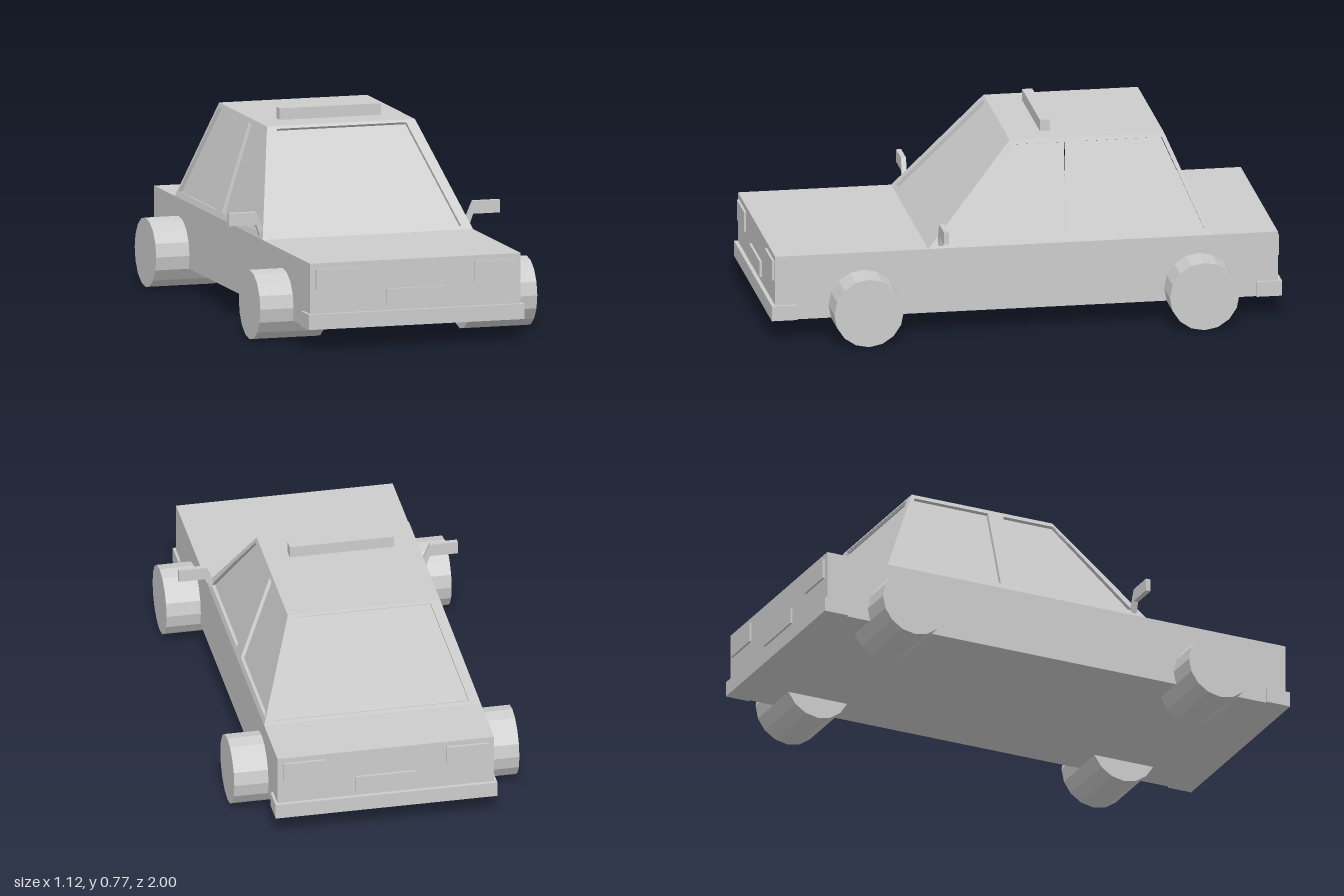
import * as THREE from 'three';

const paint = new THREE.MeshStandardMaterial({ color: 0xcccccc });
paint.name = 'light grey';

const BELT = 0.342, ROOF = 0.727;   // heights of the cabin's base and top
const RECESS = 0.015;               // how deep the panes sit

export function createModel() {
  const car = new THREE.Group();
  car.name = 'car';

  const add = (name, geometry, parent = car) => {
    const mesh = new THREE.Mesh(geometry, paint);
    mesh.name = name;
    parent.add(mesh);
    return mesh;
  };

  // Box given by its limits on each axis
  const box = (name, [x0, x1], [y0, y1], [z0, z1]) => {
    const g = new THREE.BoxGeometry(x1 - x0, y1 - y0, z1 - z0);
    g.translate((x0 + x1) / 2, (y0 + y1) / 2, (z0 + z1) / 2);
    return add(name, g);
  };

  // Sloping cabin wall with recessed windows; points are [across, height]
  const wall = (name, outline, windows, yaw, base, top) => {
    const h = ROOF - BELT, run = base - top;
    const stretch = Math.hypot(h, run) / h;
    const points = (list) => list.map(([a, y]) => new THREE.Vector2(a, (y - BELT) * stretch));
    const place = (g, depth) => g.translate(0, 0, -depth)
      .rotateX(-Math.atan2(run, h)).translate(0, BELT, base).rotateY(yaw);
    const group = new THREE.Group();
    group.name = name;
    const frame = new THREE.Shape(points(outline));
    windows.forEach((w) => frame.holes.push(new THREE.Path(points(w))));
    add('windowFrame', place(new THREE.ExtrudeGeometry(frame, { depth: RECESS, bevelEnabled: false }), RECESS), group);
    windows.forEach((w) => add('windowPane',
      place(new THREE.ShapeGeometry(new THREE.Shape(points(w))), RECESS - 0.001), group));
    car.add(group);
  };

  // Lower body
  box('body', [-0.427, 0.427], [0.085, BELT], [-0.985, 0.985]);

  // Cabin: front and rear walls
  const endOutline = [[-0.427, BELT], [0.427, BELT], [0.3, ROOF], [-0.3, ROOF]];
  const endWindow = [[-0.382, 0.355], [0.382, 0.355], [0.262, 0.717], [-0.262, 0.717]];
  wall('windscreenWall', endOutline, [endWindow], 0, 0.385, 0.045);
  wall('rearWindowWall', endOutline, [endWindow], Math.PI, 0.725, 0.56);

  // Cabin: side walls with two windows each, mirrored
  const sideOutline = [[-0.725, BELT], [0.385, BELT], [0.045, ROOF], [-0.56, ROOF]];
  const frontWindow = [[-0.155, 0.365], [0.33, 0.365], [0.045, 0.71], [-0.17, 0.71]];
  const backWindow = [[-0.7, 0.365], [-0.235, 0.365], [-0.235, 0.71], [-0.55, 0.71]];
  for (const side of [-1, 1]) {
    const flip = (list) => list.map(([a, y]) => [-side * a, y]);
    wall(side > 0 ? 'leftCabinWall' : 'rightCabinWall', flip(sideOutline),
      [flip(frontWindow), flip(backWindow)], side * Math.PI / 2, 0.427, 0.3);
  }
  box('roof', [-0.3, 0.3], [ROOF - 0.015, ROOF], [-0.56, 0.045]);
  box('roofSign', [-0.205, 0.205], [ROOF, 0.772], [-0.13, -0.09]);

  // Bumpers, lamps and plates at both ends
  for (const end of [1, -1]) {
    const where = end > 0 ? 'front' : 'rear';
    const span = (a, b) => (end > 0 ? [a, b] : [-b, -a]);
    box(where + 'Bumper', [-0.437, 0.437], [0.085, 0.145], span(0.9, 1));
    box(where + 'Plate', [-0.12, 0.12], [0.167, 0.23], span(0.98, 0.994));
    box(where + 'LeftLamp', [0.24, 0.405], [0.24, 0.32], span(0.98, 0.994));
    box(where + 'RightLamp', [-0.405, -0.24], [0.24, 0.32], span(0.98, 0.994));
  }

  for (const side of [-1, 1]) {
    const hand = side > 0 ? 'Left' : 'Right';

    // Wing mirror on a short slanted arm
    const outline = [[0.425, 0.352], [0.44, 0.395], [0.55, 0.395], [0.55, 0.445], [0.441, 0.445], [0.412, 0.378]];
    const shape = new THREE.Shape(outline.map(([x, y]) => new THREE.Vector2(side * x, y)));
    const mirror = new THREE.ExtrudeGeometry(shape, { depth: 0.02, bevelEnabled: false });
    add('mirror' + hand, mirror.translate(0, 0, 0.325));

    // Wheels
    for (const [where, z] of [['front', 0.64], ['rear', -0.675]]) {
      const wheel = new THREE.CylinderGeometry(0.136, 0.136, 0.27, 16).toNonIndexed();
      wheel.computeVertexNormals();
      wheel.rotateZ(Math.PI / 2).translate(side * 0.427, 0.136, z);
      add(where + hand + 'Wheel', wheel);
    }
  }
  return car;
}
